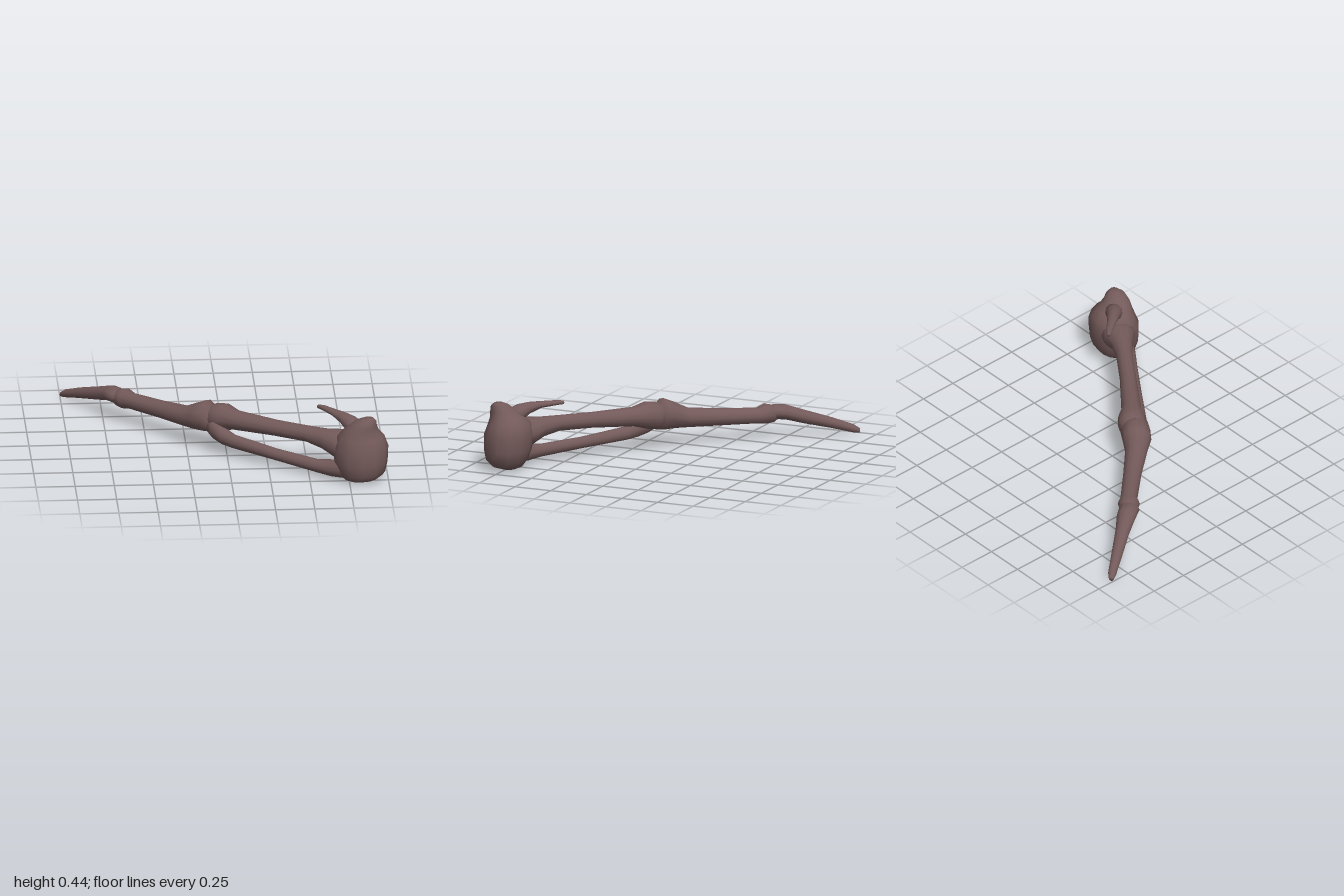
import * as THREE from 'three';

const SIDES = 12;
const material = new THREE.MeshStandardMaterial({ color: 0x745a5a });

// Skin a list of rings (centre, side vector, up vector) into one smooth closed form
function skin(name, rings) {
  const pos = [], index = [];
  for (const { c, u, v } of rings) {
    for (let i = 0; i < SIDES; i++) {
      const a = (i / SIDES) * Math.PI * 2;
      pos.push(...c.clone().addScaledVector(u, Math.cos(a)).addScaledVector(v, Math.sin(a)).toArray());
    }
  }
  const last = rings.length - 1;
  const start = pos.length / 3, end = start + 1;
  pos.push(...rings[0].c.toArray(), ...rings[last].c.toArray());
  for (let i = 0; i < SIDES; i++) {
    const j = (i + 1) % SIDES;
    for (let r = 0; r < last; r++) {
      const a = r * SIDES, b = a + SIDES;
      index.push(a + i, a + j, b + j, a + i, b + j, b + i);
    }
    index.push(start, j, i, end, last * SIDES + i, last * SIDES + j);
  }
  const geo = new THREE.BufferGeometry();
  geo.setAttribute('position', new THREE.Float32BufferAttribute(pos, 3));
  geo.setIndex(index);
  geo.computeVertexNormals();
  const mesh = new THREE.Mesh(geo, material);
  mesh.name = name;
  return mesh;
}

// Lying bone: stations are [x, y, z, half width, half height], rings stand upright
function bone(name, stations) {
  const pts = stations.map(([x, y, z]) => new THREE.Vector3(x, y, z));
  return skin(name, stations.map(([, , , w, h], k) => {
    const t = pts[Math.min(k + 1, pts.length - 1)].clone().sub(pts[Math.max(k - 1, 0)]);
    t.y = 0;
    t.normalize();
    const up = new THREE.Vector3(0, 1, 0);
    return { c: pts[k], u: up.clone().cross(t).multiplyScalar(w), v: up.multiplyScalar(h) };
  }));
}

// Upright knob: stations are [y, x, z, half width x, half depth z], rings lie flat
function knob(name, stations) {
  return skin(name, stations.map(([y, x, z, w, d]) => ({
    c: new THREE.Vector3(x, y, z),
    u: new THREE.Vector3(w, 0, 0),
    v: new THREE.Vector3(0, 0, -d),
  })));
}

export function createModel() {
  const model = new THREE.Group();
  model.name = 'wingHandBone';

  // Pointed end bone
  model.add(bone('fingerTip', [
    [-0.99, 0.025, -0.885, 0.016, 0.016],
    [-0.965, 0.04, -0.855, 0.027, 0.027],
    [-0.88, 0.085, -0.74, 0.036, 0.036],
    [-0.77, 0.135, -0.595, 0.046, 0.045],
    [-0.7, 0.17, -0.5, 0.062, 0.05],
    [-0.66, 0.175, -0.44, 0.066, 0.048],
    [-0.61, 0.165, -0.4, 0.04, 0.04],
  ]));

  // Middle bone with a swollen knuckle at either end
  model.add(bone('middleBone', [
    [-0.67, 0.165, -0.46, 0.03, 0.035],
    [-0.65, 0.165, -0.435, 0.058, 0.056],
    [-0.61, 0.168, -0.4, 0.07, 0.066],
    [-0.57, 0.162, -0.365, 0.054, 0.052],
    [-0.4, 0.172, -0.185, 0.058, 0.056],
    [-0.25, 0.185, -0.02, 0.07, 0.065],
    [-0.18, 0.21, 0.05, 0.092, 0.088],
    [-0.12, 0.225, 0.09, 0.096, 0.104],
    [-0.07, 0.21, 0.12, 0.07, 0.08],
  ]));

  // Thick upper bar of the fork
  model.add(bone('upperBar', [
    [-0.11, 0.23, 0.07, 0.05, 0.06],
    [-0.06, 0.225, 0.115, 0.09, 0.09],
    [-0.01, 0.235, 0.155, 0.088, 0.09],
    [0.06, 0.235, 0.215, 0.064, 0.064],
    [0.3, 0.247, 0.4, 0.053, 0.052],
    [0.5, 0.256, 0.545, 0.053, 0.052],
    [0.6, 0.248, 0.615, 0.068, 0.066],
    [0.68, 0.235, 0.665, 0.1, 0.09],
    [0.78, 0.225, 0.72, 0.12, 0.1],
  ]));

  // Slim lower bar of the fork
  model.add(bone('lowerBar', [
    [-0.11, 0.18, 0.14, 0.03, 0.05],
    [-0.07, 0.165, 0.185, 0.05, 0.065],
    [-0.02, 0.135, 0.235, 0.045, 0.055],
    [0.04, 0.115, 0.28, 0.038, 0.045],
    [0.3, 0.092, 0.47, 0.036, 0.038],
    [0.55, 0.077, 0.65, 0.038, 0.043],
    [0.65, 0.08, 0.705, 0.055, 0.056],
    [0.73, 0.1, 0.74, 0.075, 0.075],
    [0.8, 0.12, 0.75, 0.07, 0.08],
  ]));

  // Heavy wrist end with a raised crown
  model.add(knob('wristHead', [
    [0.007, 0.81, 0.745, 0.05, 0.045],
    [0.03, 0.82, 0.75, 0.11, 0.1],
    [0.07, 0.83, 0.75, 0.15, 0.13],
    [0.14, 0.825, 0.745, 0.17, 0.15],
    [0.24, 0.825, 0.74, 0.175, 0.155],
    [0.31, 0.825, 0.735, 0.15, 0.135],
    [0.35, 0.825, 0.75, 0.115, 0.11],
    [0.39, 0.835, 0.775, 0.09, 0.08],
    [0.425, 0.855, 0.785, 0.065, 0.06],
    [0.445, 0.87, 0.79, 0.035, 0.03],
  ]));

  // Small hooked spur reaching back from the crown
  model.add(bone('spur', [
    [0.568, 0.414, 0.473, 0.012, 0.012],
    [0.6, 0.416, 0.505, 0.021, 0.016],
    [0.67, 0.41, 0.59, 0.031, 0.022],
    [0.72, 0.395, 0.645, 0.04, 0.038],
    [0.77, 0.365, 0.695, 0.055, 0.06],
    [0.82, 0.34, 0.74, 0.06, 0.06],
  ]));

  return model;
}
